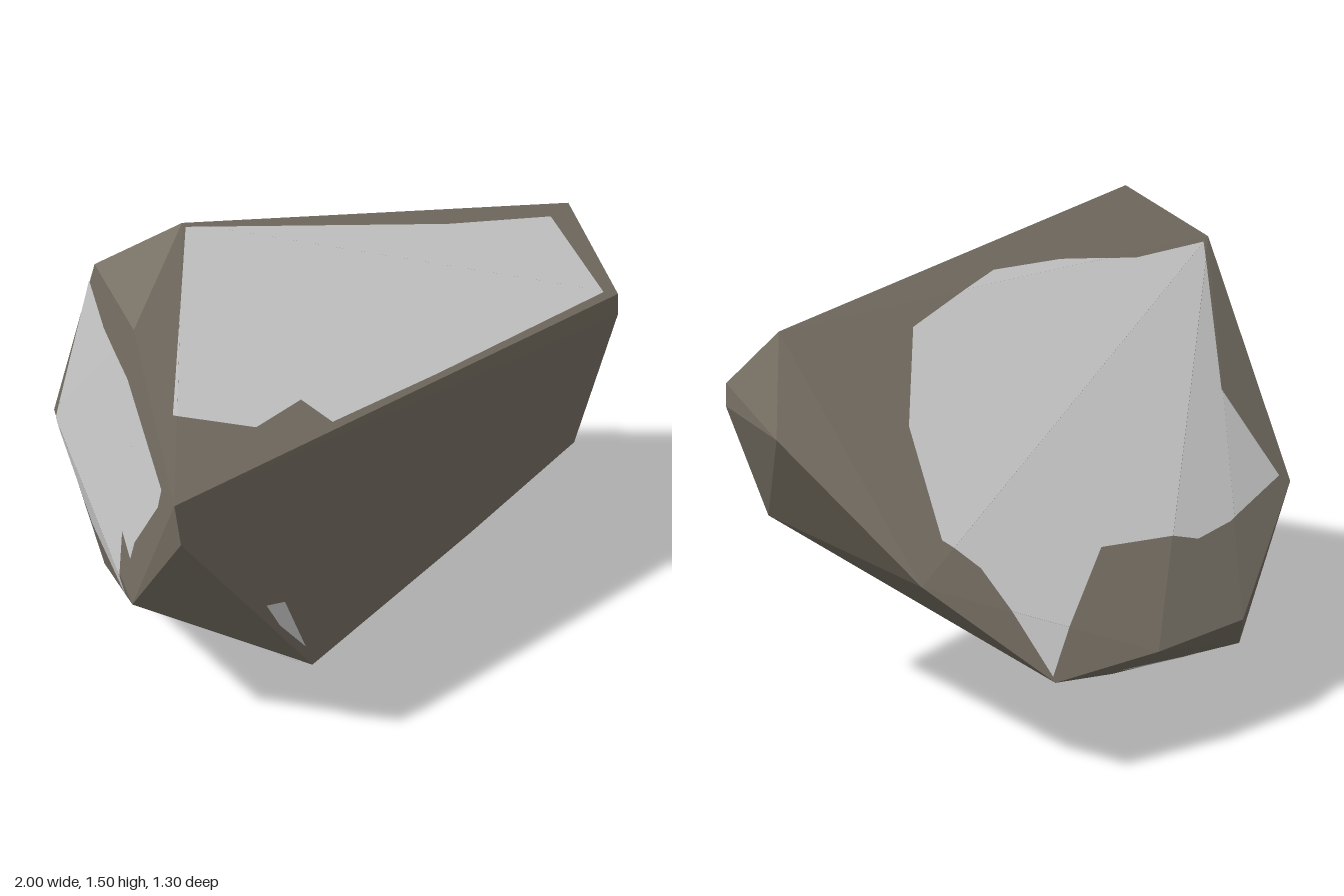
import * as THREE from 'three';
import { ConvexGeometry } from 'three/addons/geometries/ConvexGeometry.js';

const V = (x, y, z) => new THREE.Vector3(x, y, z);

export function createModel() {
  const model = new THREE.Group();
  const stone = new THREE.MeshStandardMaterial({ color: 0x777064 });
  stone.name = 'brown grey stone';
  const pale = new THREE.MeshStandardMaterial({ color: 0xd0d0d0 });
  pale.name = 'pale grey facet';

  // Boulder: hull of its corner points
  const corners = [
    V(-0.47, 1.5, 0.08), V(-0.61, 1.34, -0.14), V(-0.8, 1.35, 0.25), // peak
    V(0.83, 1.24, 0.39), V(1, 0.98, 0.26), V(0.89, 0.6, -0.16), // left shoulder
    V(-1, 1.05, 0.63), V(-0.98, 0.92, 0.63), V(0.78, 1.04, 0.645), V(0.78, 0.97, 0.65), // front rim
    V(0.61, 0.59, 0.65), V(0.15, 0.46, 0.645), V(-0.5, 0.3, 0.64), // lower front edge
    V(-0.88, 0.52, 0.3), V(-0.47, 0.64, -0.54), // right side
    V(-0.02, 0.34, -0.65), V(0.33, 0.33, -0.58), V(0.66, 0.31, -0.45), // back edge
    V(-0.22, 0.12, 0.38), V(-0.4, 0.1, -0.41), V(-0.16, 0, -0.09), // base
  ];
  const hull = new ConvexGeometry(corners);
  const boulder = new THREE.Mesh(hull, stone);
  boulder.name = 'boulder';
  model.add(boulder);

  // Distinct face planes of the boulder
  const planes = [];
  const pos = hull.attributes.position;
  const at = (i) => new THREE.Vector3().fromBufferAttribute(pos, i);
  for (let i = 0; i < pos.count; i += 3) {
    const p = new THREE.Plane().setFromCoplanarPoints(at(i), at(i + 1), at(i + 2));
    if (p.normal.lengthSq() < 0.5) continue;
    if (!planes.some((q) => q.normal.dot(p.normal) > 0.99999 && Math.abs(q.constant - p.constant) < 1e-3)) planes.push(p);
  }

  // Keep the part of a 2D polygon where g >= 0
  function clip(poly, g) {
    const out = [];
    poly.forEach((a, i) => {
      const b = poly[(i + 1) % poly.length];
      const ga = g(a), gb = g(b);
      if (ga >= 0) out.push(a);
      if ((ga >= 0) !== (gb >= 0)) out.push(a.clone().lerp(b, ga / (ga - gb)));
    });
    return out;
  }

  // Lay a flat outline on the boulder along the axis right x up, following every face
  function addFacet(name, right, up, outline) {
    const toward = right.clone().cross(up).normalize();
    const point = (p, t) => V(0, 0, 0).addScaledVector(right, p.x).addScaledVector(up, p.y).addScaledVector(toward, t);
    const facing = planes.filter((p) => p.normal.dot(toward) > 0.01);
    const height = (pl, p) => -pl.distanceToPoint(point(p, 0)) / pl.normal.dot(toward);
    const positions = [];
    for (const pl of facing) {
      let poly = outline.map(([x, y]) => new THREE.Vector2(x, y));
      for (const other of facing) {
        // the surface is the lowest of the facing planes
        if (other !== pl && poly.length) poly = clip(poly, (p) => height(other, p) - height(pl, p));
      }
      if (poly.length < 3 || Math.abs(THREE.ShapeUtils.area(poly)) < 1e-5) continue;
      if (THREE.ShapeUtils.isClockWise(poly)) poly.reverse();
      for (const tri of THREE.ShapeUtils.triangulateShape(poly, [])) {
        for (const k of tri) positions.push(...point(poly[k], height(pl, poly[k])).addScaledVector(pl.normal, 0.004).toArray());
      }
    }
    const geo = new THREE.BufferGeometry();
    geo.setAttribute('position', new THREE.Float32BufferAttribute(positions, 3));
    geo.computeVertexNormals();
    const mesh = new THREE.Mesh(geo, pale);
    mesh.name = name;
    model.add(mesh);
  }

  const X = V(1, 0, 0), Y = V(0, 1, 0), back = V(0, 0, -1);

  // Upper front slope
  addFacet('frontFacet', X, Y, [
    [-0.47, 1.49], [-0.85, 1.19], [-0.64, 1.11], [-0.46, 1.12], [-0.41, 1.06],
    [0.0, 1.055], [0.73, 1.055], [0.73, 1.23], [0.36, 1.3],
  ]);
  // Broad back slope, outlined from above
  addFacet('backFacet', X, back, [
    [-0.43, 0.52], [-0.15, 0.52], [0, 0.5], [0.32, 0.37], [0.66, 0.44], [0.7, 0.22], [0.76, 0.13],
    [0.65, -0.07], [0.46, -0.2], [0.12, -0.16], [-0.1, -0.07], [-0.33, 0.05], [-0.58, 0.14], [-0.36, 0.35],
  ]);
  // Right side, outlined obliquely
  addFacet('sideFacet', V(-0.82, 0, 0.57), V(0.194, 0.94, 0.279), [
    [0.39, 1.03], [0.55, 1.0], [0.78, 1.02], [1.09, 0.94], [1.07, 0.87], [0.9, 0.61],
    [0.87, 0.53], [0.79, 0.55], [0.78, 0.34], [0.23, 0.13], [0.09, 0.31],
  ]);
  // Underside patches
  addFacet('lowerFrontFacet', X, Y, [
    [-0.23, 0.16], [-0.1, 0.34], [0.03, 0.41], [0.22, 0.44], [0.3, 0.42], [0.6, 0.555], [0.46, 0.43], [0.3, 0.31], [0.05, 0.21],
  ]);
  addFacet('lowerSideFacet', X, Y, [
    [-0.8, 0.465], [-0.55, 0.33], [-0.34, 0.2], [-0.33, 0.12], [-0.26, 0.06], [-0.4, 0.1],
  ]);
  addFacet('frontCornerFacet', X, Y, [[-0.68, 0.59], [-0.61, 0.57], [-0.53, 0.38], [-0.63, 0.5]]);
  addFacet('lowerBackFacet', back, Y, [[0.3, 0.13], [0.39, 0.13], [0.42, 0.18], [0.42, 0.23]]);
  return model;
}
